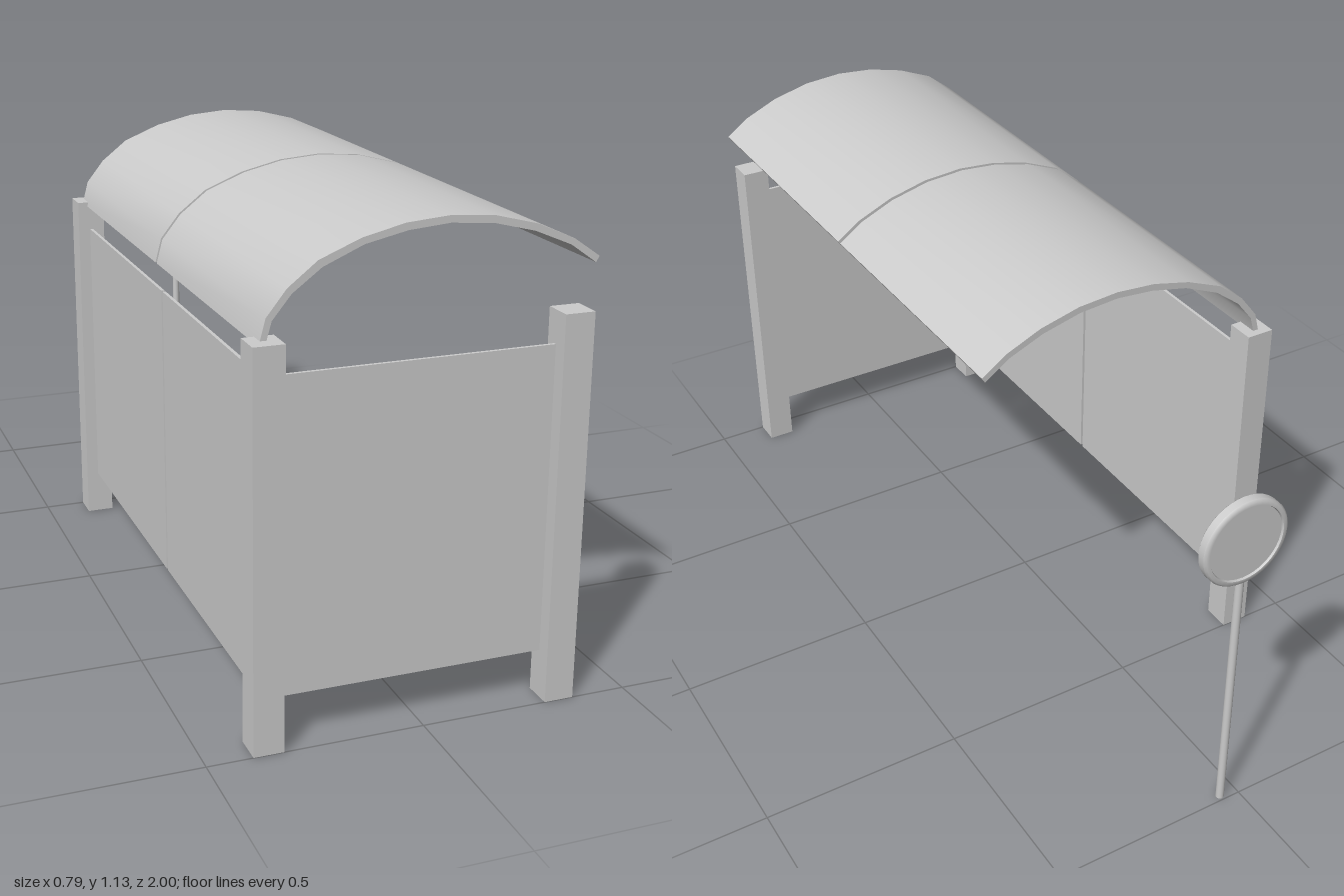
import * as THREE from 'three';
import { toCreasedNormals } from 'three/addons/utils/BufferGeometryUtils.js';

const material = new THREE.MeshStandardMaterial({ color: 0xcccccc });

function addPart(parent, name, geometry, x = 0, y = 0, z = 0) {
  const mesh = new THREE.Mesh(geometry, material);
  mesh.name = name;
  mesh.position.set(x, y, z);
  parent.add(mesh);
  return mesh;
}

// Box given by its minimum and maximum corners
function addBox(parent, name, [x0, y0, z0], [x1, y1, z1]) {
  const geometry = new THREE.BoxGeometry(x1 - x0, y1 - y0, z1 - z0);
  return addPart(parent, name, geometry, (x0 + x1) / 2, (y0 + y1) / 2, (z0 + z1) / 2);
}

// Curved roof sheet: arched cross-section swept along z
function roofGeometry(length) {
  const outer = [
    [-0.37, 0.896], [-0.355, 0.953], [-0.31, 1.01], [-0.244, 1.062], [-0.151, 1.1], [-0.055, 1.123],
    [0.044, 1.131], [0.145, 1.123], [0.244, 1.098], [0.331, 1.06], [0.393, 1.017],
  ];
  const inner = [
    [-0.356, 0.896], [-0.342, 0.946], [-0.3, 0.998], [-0.235, 1.047], [-0.145, 1.086], [-0.05, 1.107],
    [0.044, 1.115], [0.142, 1.107], [0.238, 1.083], [0.324, 1.047], [0.385, 1.004],
  ];
  const points = [...outer, ...inner.reverse()].map(([x, y]) => new THREE.Vector2(x, y));
  const geometry = new THREE.ExtrudeGeometry(new THREE.Shape(points), { depth: length, bevelEnabled: false });
  return toCreasedNormals(geometry, 0.6);
}

export function createModel() {
  const model = new THREE.Group();
  model.name = 'busShelter';

  // Three square posts
  const posts = [['frontRightPost', -0.36, 0.965], ['backRightPost', -0.36, -0.465], ['frontLeftPost', 0.335, 0.965]];
  for (const [name, x, z] of posts) {
    addBox(model, name, [x - 0.035, 0, z - 0.035], [x + 0.035, 0.907, z + 0.035]);
  }

  // Wall panels: one at the end, two along the long side
  const bottom = 0.113, top = 0.832;
  addBox(model, 'endPanel', [-0.325, bottom, 0.956], [0.3, top, 0.964]);
  addBox(model, 'sidePanelFront', [-0.364, bottom, 0.272], [-0.356, top, 0.93]);
  addBox(model, 'sidePanelBack', [-0.364, bottom, -0.43], [-0.356, top, 0.262]);

  // Two arched roof sheets with a narrow gap
  const sheet = roofGeometry(0.717);
  addPart(model, 'roofFront', sheet, 0, 0, 0.248);
  addPart(model, 'roofBack', sheet, 0, 0, -0.48);

  // Free-standing stop sign: pole and round plate with a raised, rounded rim
  const sign = new THREE.Group();
  sign.name = 'stopSign';
  sign.position.set(0.045, 0, -0.986);
  model.add(sign);
  addPart(sign, 'signPole', new THREE.CylinderGeometry(0.01, 0.01, 0.68, 20), 0, 0.34, 0);
  const profile = [
    [0, -0.009], [0.095, -0.009], [0.097, -0.014], [0.106, -0.014], [0.111, -0.009],
    [0.111, 0.009], [0.106, 0.014], [0.097, 0.014], [0.095, 0.009], [0, 0.009],
  ].map(([r, y]) => new THREE.Vector2(r, y));
  const plate = toCreasedNormals(new THREE.LatheGeometry(profile, 40), 0.85);
  addPart(sign, 'signPlate', plate, 0, 0.775, 0).rotation.x = Math.PI / 2;

  return model;
}
